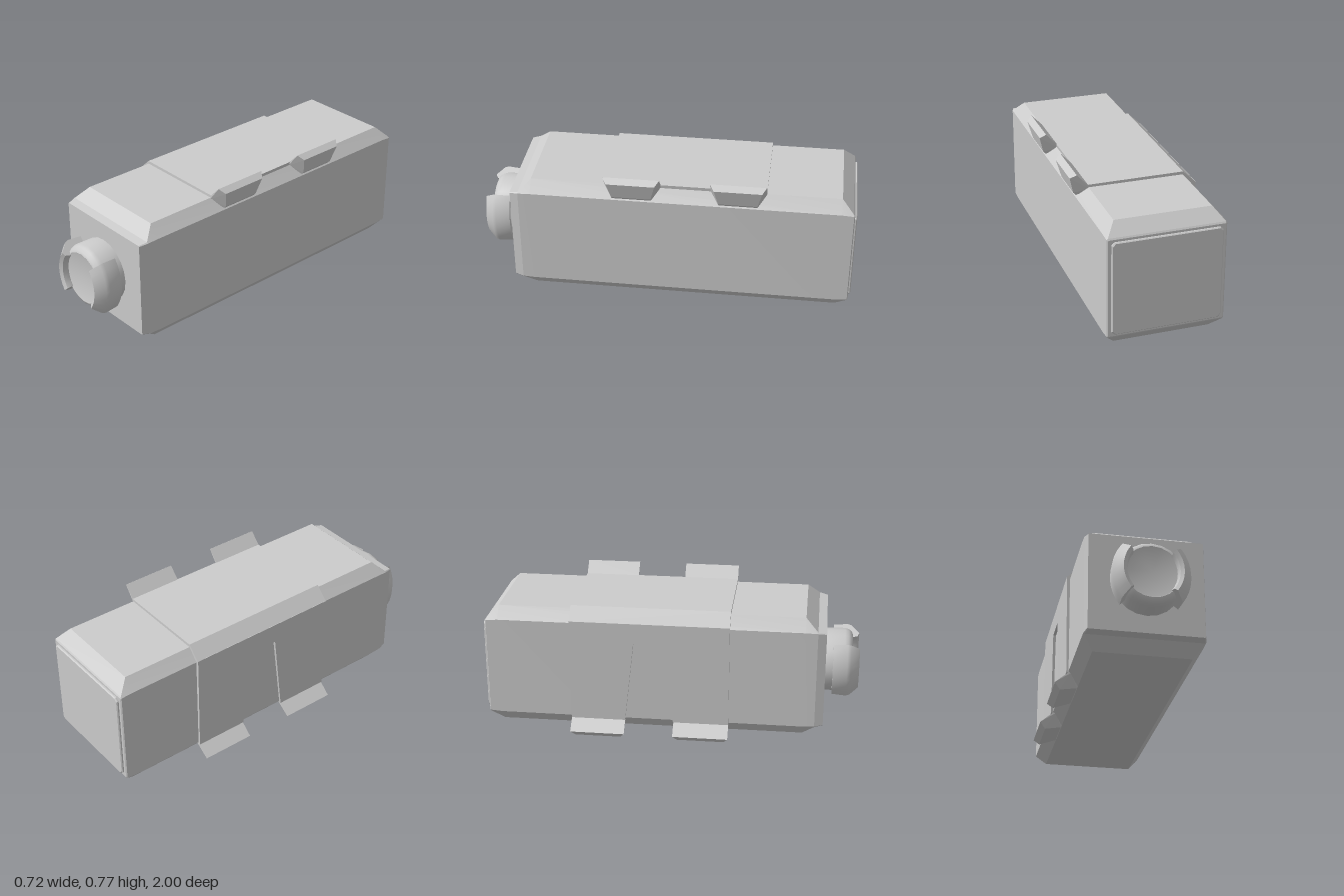
import * as THREE from 'three';
import { toCreasedNormals } from 'three/addons/utils/BufferGeometryUtils.js';
import { ConvexGeometry } from 'three/addons/geometries/ConvexGeometry.js';

const CX = 0.0175, CY = 0.3675; // centre of the body's cross-section
const material = new THREE.MeshStandardMaterial({ color: 0xcccccc, side: THREE.DoubleSide });

function add(parent, name, geometry) {
  const mesh = new THREE.Mesh(geometry, material);
  mesh.name = name;
  parent.add(mesh);
  return mesh;
}

// Skin a row of equal-length cross-sections and cap both ends
function loft(sections, crease) {
  const n = sections[0].length, index = [];
  const positions = sections.flat().flat();
  for (let s = 0; s < sections.length - 1; s++) {
    for (let i = 0; i < n; i++) {
      const a = s * n + i, b = s * n + (i + 1) % n;
      index.push(a, a + n, b, b, a + n, b + n);
    }
  }
  const last = (sections.length - 1) * n;
  for (let i = 1; i < n - 1; i++) index.push(0, i, i + 1, last, last + i + 1, last + i);
  const geometry = new THREE.BufferGeometry();
  geometry.setAttribute('position', new THREE.Float32BufferAttribute(positions, 3));
  geometry.setIndex(index);
  return toCreasedNormals(geometry, crease);
}

// Rectangle with cut corners, w and h are half sizes
function octagon(w, h, cx, cy, z) {
  return [[w, -h + cy], [w, h - cy], [w - cx, h], [-w + cx, h],
    [-w, h - cy], [-w, -h + cy], [-w + cx, -h], [w - cx, -h]]
    .map(([x, y]) => [CX + x, CY + y, z]);
}

function polygon(points) {
  return new THREE.Shape(points.map(([x, y]) => new THREE.Vector2(x, y)));
}

export function createModel() {
  const model = new THREE.Group();
  model.name = 'cartridge';

  // Long case with chamfered edges and bevelled ends
  add(model, 'body', loft([
    octagon(0.293, 0.263, 0.004, 0.004, 0.82),
    octagon(0.306, 0.272, 0.006, 0.006, 0.775),
    octagon(0.3075, 0.3325, 0.056, 0.064, 0.71),
    octagon(0.3075, 0.3325, 0.056, 0.064, -0.92),
    octagon(0.3065, 0.27, 0.006, 0.006, -0.983),
    octagon(0.3, 0.262, 0.004, 0.004, -0.988),
  ], 0.2));

  // Raised end plate
  add(model, 'backPanel', loft([
    octagon(0.285, 0.25, 0.015, 0.015, -0.98),
    octagon(0.285, 0.25, 0.015, 0.015, -0.995),
    octagon(0.28, 0.245, 0.015, 0.015, -1.0),
  ], 0.2));

  // Cover sheet wrapping the top and one side
  const cover = new THREE.Group();
  cover.name = 'cover';
  model.add(cover);
  const Z0 = -0.532, Z1 = 0.318;
  const topSheet = new THREE.ExtrudeGeometry(polygon([
    [0.272, 0.69], [0.275, 0.714], [-0.235, 0.716], [-0.304, 0.65], [-0.28, 0.64], [-0.225, 0.69],
  ]), { depth: Z1 - Z0, bevelEnabled: false });
  topSheet.translate(0, 0, Z0);
  add(cover, 'coverTop', topSheet);

  // Side sheet with a tapering notch between its tabs, drawn in (z, y)
  const sideSheet = new THREE.ExtrudeGeometry(polygon([
    [Z0, 0.09], [-0.24, 0.09], [-0.19, 0.54], [-0.03, 0.54], [0.02, 0.09],
    [Z1, 0.09], [Z1, 0.65], [Z0, 0.65],
  ]), { depth: 0.02, bevelEnabled: false });
  sideSheet.rotateY(-Math.PI / 2);
  sideSheet.translate(-0.282, 0, 0);
  const p = sideSheet.attributes.position;
  for (let i = 0; i < p.count; i++) p.setX(i, p.getX(i) - 0.004 * (p.getY(i) - 0.09) / 0.56);
  sideSheet.computeVertexNormals();
  add(cover, 'coverSide', sideSheet);

  // Flared tabs: [x, y, inset of both ends along z]
  const topTab = [[0.272, 0.714, 0], [0.33, 0.774, 0], [0.36, 0.75, 0.022],
    [0.336, 0.66, 0.045], [0.322, 0.645, 0.045], [0.265, 0.69, 0]];
  const sideTab = [[-0.29, 0.092, 0], [-0.36, 0.032, 0], [-0.33, 0.001, 0.022],
    [-0.24, 0.025, 0.045], [-0.23, 0.04, 0.045], [-0.275, 0.09, 0]];
  for (const [from, to] of [[Z0, -0.24], [0.022, Z1]]) {
    for (const [name, outline] of [['topTab', topTab], ['sideTab', sideTab]]) {
      const points = outline.flatMap(([x, y, inset]) => [
        new THREE.Vector3(x, y, from + inset), new THREE.Vector3(x, y, to - inset)]);
      add(cover, name, new ConvexGeometry(points));
    }
  }

  // Round nozzle on the front
  const nozzle = new THREE.Group();
  nozzle.name = 'nozzle';
  nozzle.position.set(CX, CY, 0);
  model.add(nozzle);
  const profile = [[0.17, 0.81], [0.172, 0.92], [0.166, 0.94], [0.153, 0.957], [0.14, 0.962], [0.134, 0.96], [0, 0.96]]
    .map(([r, z]) => new THREE.Vector2(r, z));
  const core = new THREE.LatheGeometry(profile, 20);
  core.rotateX(Math.PI / 2);
  add(nozzle, 'nozzleCore', toCreasedNormals(core, 0.6));

  // Two gripping jaws around the nozzle
  const jaw = [[0.155, 0.86], [0.124, 0.96], [0.132, 0.99], [0.15, 1.0], [0.192, 0.955], [0.198, 0.935], [0.192, 0.86]];
  const STEPS = 8;
  for (const [name, middle] of [['leftJaw', 0], ['rightJaw', Math.PI]]) {
    const sections = [];
    for (let s = 0; s <= STEPS; s++) {
      const t = 1 - 2 * s / STEPS, a = middle + t * 0.78;
      const flare = 1 + 0.06 * t * t;
      sections.push(jaw.map(([r, z]) => [r * flare * Math.cos(a), r * flare * Math.sin(a), z]));
    }
    add(nozzle, name, loft(sections, 0.6));
  }
  return model;
}
